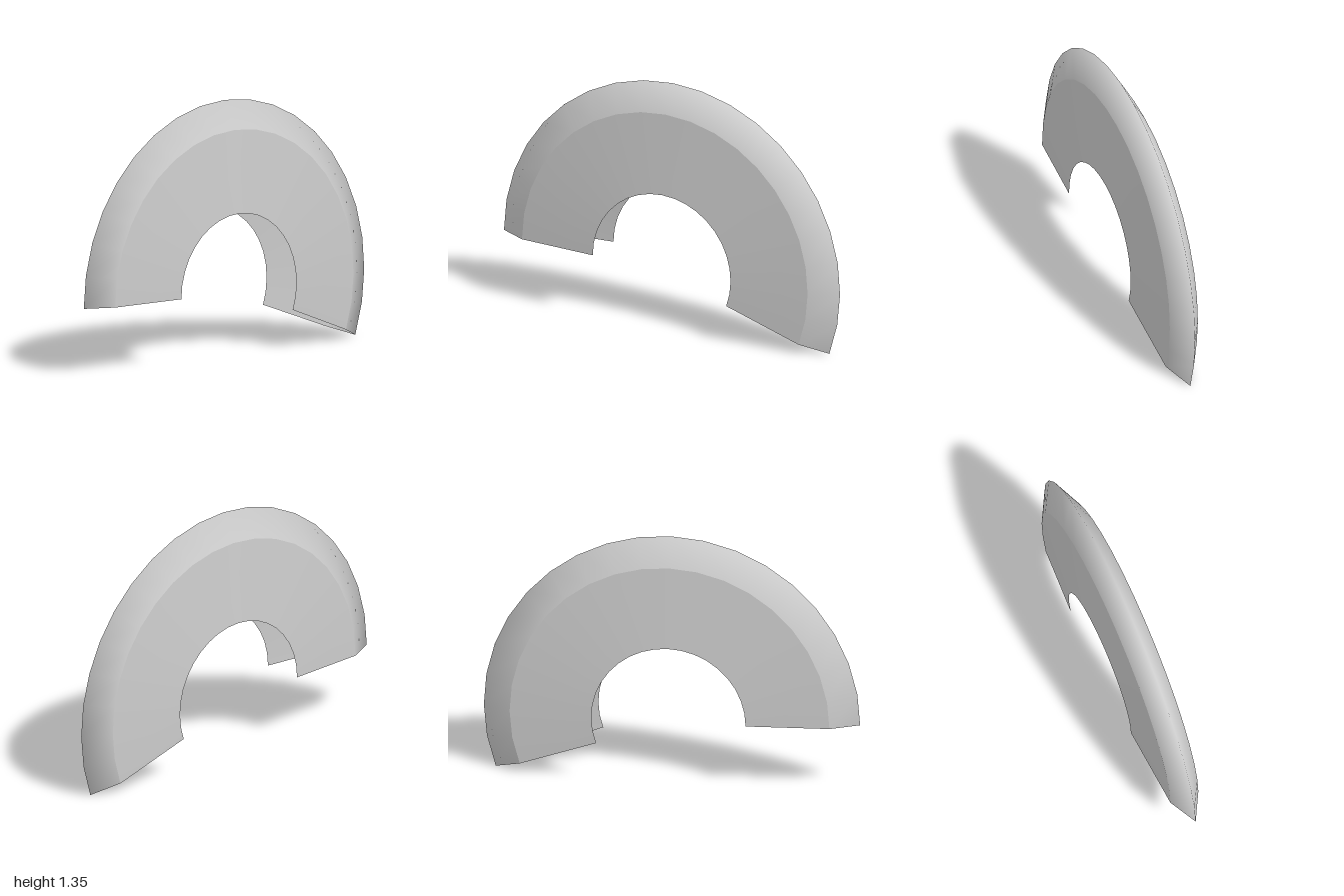
import * as THREE from 'three';

const ARC = 3.5;      // sweep in radians, from the front edge over the top to the rear
const SEGMENTS = 20;

export function createModel() {
  const fender = new THREE.Group();
  fender.name = 'wheelFender';
  const material = new THREE.MeshStandardMaterial({ color: 0xcccccc, side: THREE.DoubleSide });

  // Sweeps a [radius, offset] profile around the wheel axle
  const addShell = (name, profile) => {
    const points = profile.map(([r, offset]) => new THREE.Vector2(r, offset));
    const geometry = new THREE.LatheGeometry(points, SEGMENTS, 0, ARC);
    geometry.rotateZ(Math.PI / 2);
    const mesh = new THREE.Mesh(geometry, material);
    mesh.name = name;
    fender.add(mesh);
  };

  // Side walls lean inward towards the rim; the ridge is shaded as one smooth band
  addShell('leftSideWall', [[0.41, -0.115], [0.85, -0.08]]);
  addShell('outerRidge', [[0.85, -0.08], [1, 0], [0.85, 0.08]]);
  addShell('rightSideWall', [[0.85, 0.08], [0.41, 0.115]]);

  // Lift so the rear tip touches the ground
  fender.position.y = -Math.sin(ARC);
  return fender;
}
